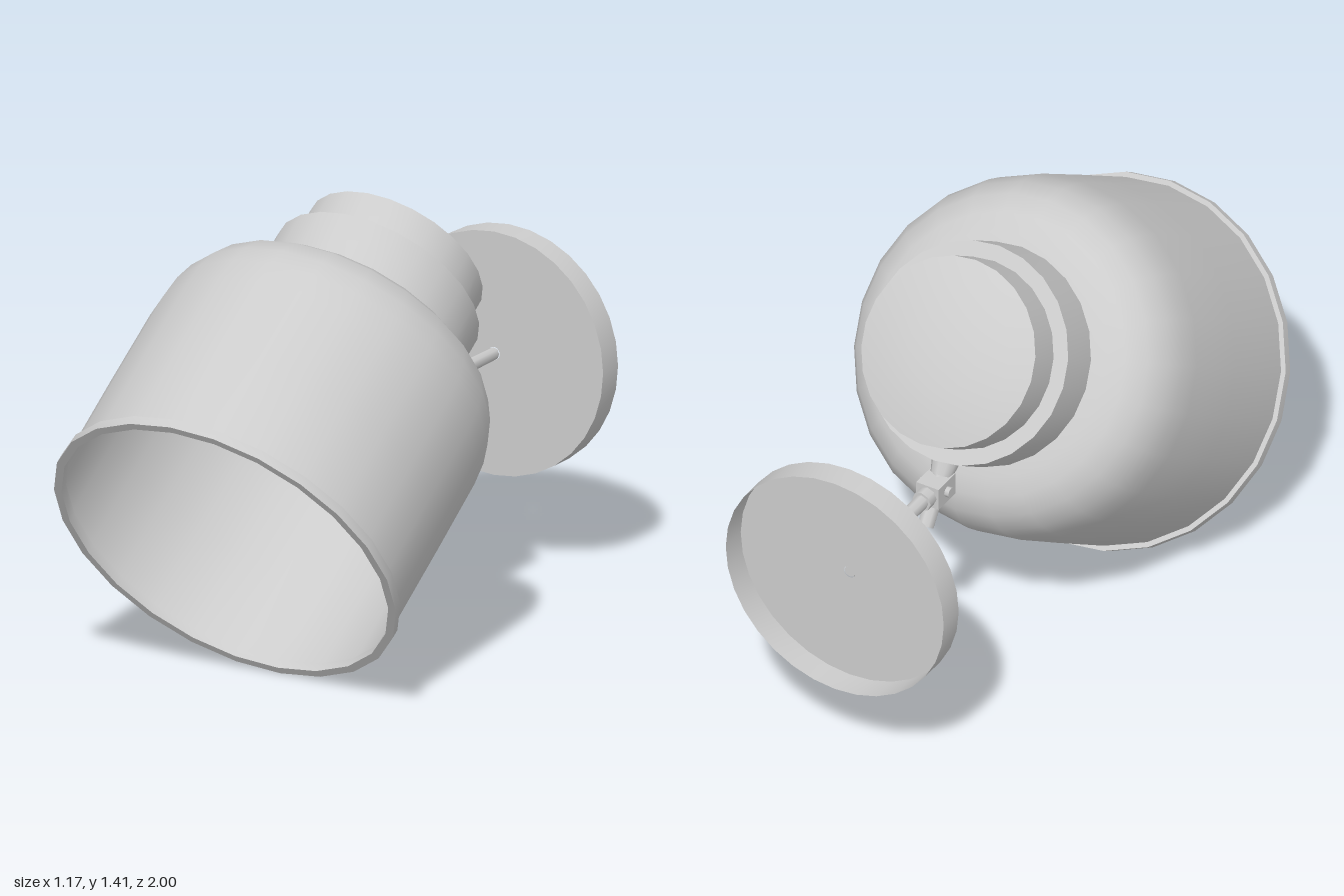
import * as THREE from 'three';
import { toCreasedNormals } from 'three/addons/utils/BufferGeometryUtils.js';

const material = new THREE.MeshStandardMaterial({ color: 0xcccccc, side: THREE.DoubleSide });

function part(parent, name, geometry, position = [0, 0, 0], rotation = [0, 0, 0]) {
  const mesh = new THREE.Mesh(geometry, material);
  mesh.name = name;
  mesh.position.set(...position);
  mesh.rotation.set(...rotation);
  parent.add(mesh);
  return mesh;
}

// Revolve [radius, height] pairs, keeping hard edges sharp
function turned(profile, segments = 24) {
  const points = profile.map(([r, y]) => new THREE.Vector2(r, y));
  return toCreasedNormals(new THREE.LatheGeometry(points, segments), 0.6);
}

export function createModel() {
  const model = new THREE.Group();
  model.name = 'wallLamp';

  // Lamp head: local y runs along the tilted shade axis, from rim to cap
  const head = new THREE.Group();
  head.name = 'lampHead';
  head.position.set(0, 0.487, 0.675);
  head.rotation.x = -0.98;
  model.add(head);

  // Open thin shade with rounded shoulder
  part(head, 'shade', turned([
    [0.567, 0.02], [0.566, 0.35], [0.563, 0.62], [0.555, 0.7], [0.537, 0.765],
    [0.498, 0.832], [0.44, 0.873], [0.38, 0.892], [0.3, 0.905], [0, 0.905],
  ]));
  part(head, 'shadeRim', turned([
    [0.557, 0], [0.583, 0], [0.583, 0.032], [0.557, 0.032], [0.557, 0],
  ]));

  // Stepped cap behind the shade
  part(head, 'neck', new THREE.CylinderGeometry(0.31, 0.31, 0.04, 24), [0, 0.91, 0]);
  part(head, 'collar', turned([[0, 0.922], [0.347, 0.922], [0.347, 1.083], [0.295, 1.083]]));
  part(head, 'cap', turned([
    [0.297, 1.07], [0.297, 1.212], [0.22, 1.234], [0.12, 1.249], [0, 1.255],
  ]));

  // Bulb and its neck
  part(head, 'bulb', new THREE.SphereGeometry(0.16, 20, 14), [0, 0.56, 0]);
  part(head, 'bulbNeck', turned([[0.135, 0.64], [0.1, 0.72], [0.085, 0.8], [0.085, 0.905]], 16));

  // Stem from the collar down through the joint
  part(head, 'stem', new THREE.CylinderGeometry(0.027, 0.027, 0.25, 8),
    [0, 1.0, -0.431], [Math.PI / 2, 0, 0]);
  part(head, 'stemCollar', new THREE.CylinderGeometry(0.045, 0.035, 0.05, 10),
    [0, 1.0, -0.365], [Math.PI / 2, 0, 0]);

  // Swivel joint with cross pin
  part(model, 'jointBlock', new THREE.BoxGeometry(0.08, 0.076, 0.1), [0, 0.69, -0.405]);
  part(model, 'jointSocket', new THREE.CylinderGeometry(0.033, 0.033, 0.05, 8),
    [0, 0.69, -0.465], [Math.PI / 2, 0, 0]);
  part(model, 'jointPin', new THREE.CylinderGeometry(0.017, 0.017, 0.11, 8),
    [0, 0.692, -0.405], [0, 0, Math.PI / 2]);

  // Arm to the wall
  part(model, 'arm', new THREE.CylinderGeometry(0.025, 0.02, 0.46, 8),
    [0, 0.69, -0.68], [Math.PI / 2, 0, 0]);

  // Hollow wall plate, open at the back, with a cable hole
  part(model, 'wallPlate', turned([[0.392, 0], [0.392, 0.088], [0.02, 0.088]], 32),
    [0, 0.69, -1], [Math.PI / 2, 0, 0]);

  return model;
}
